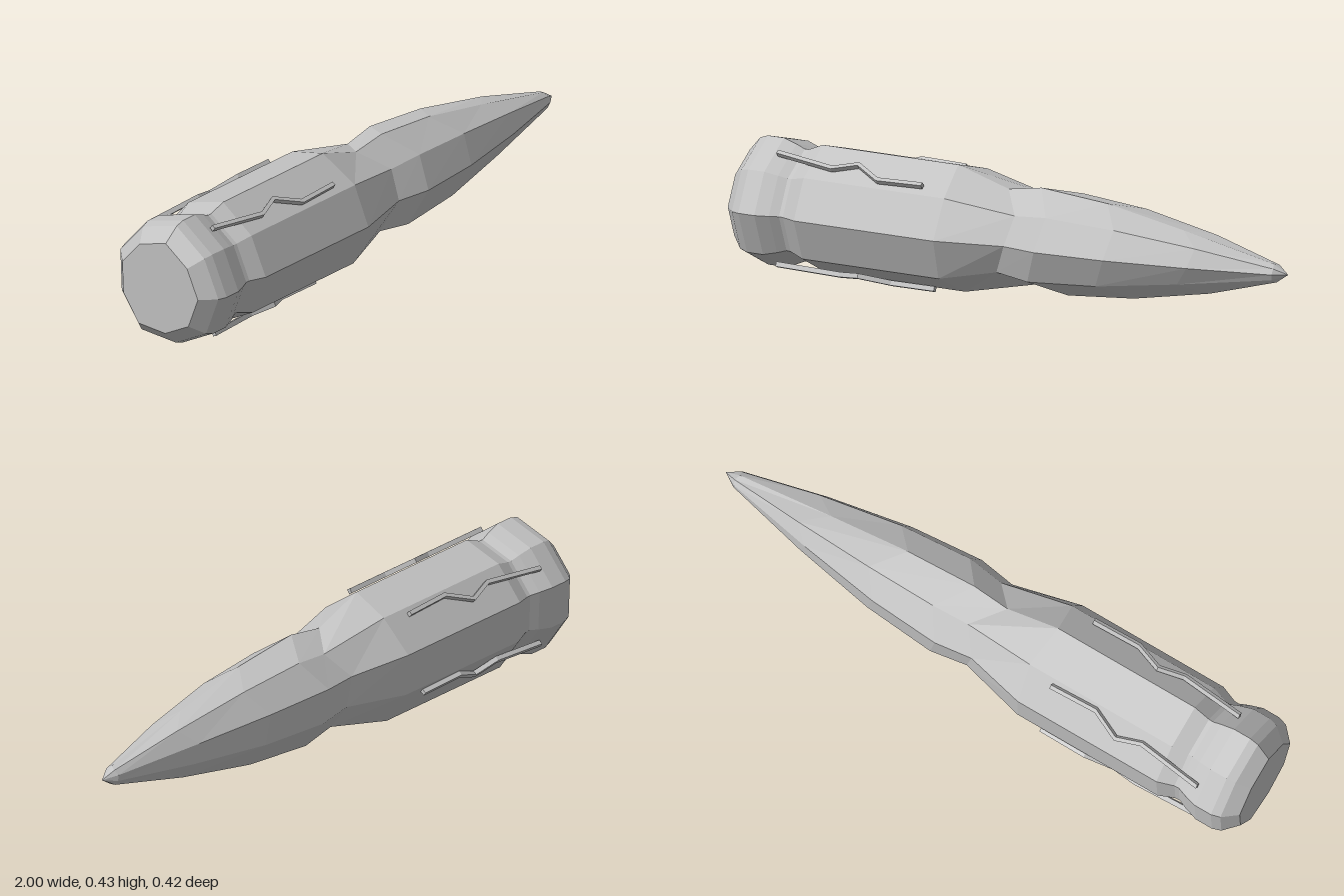
import * as THREE from 'three';

const SIDES = 9;
const AXIS_Y = 0.21, AXIS_Z = -0.006;
// hand-cut irregularity of each long edge: radius factor and lengthwise shift
const EDGE_RADIUS = [1, 0.945, 1.03, 0.967, 0.99, 0.96, 1.03, 0.955, 0.99];
const EDGE_SHIFT = [0.01, 0.025, -0.05, 0.035, -0.02, 0, 0.01, 0.047, -0.04];

// cross-sections along x: [x, radius, shift weight]
const CASE = [
  [-1, 0, 0], [-1, 0.158, 0], [-0.955, 0.205, 0], [-0.925, 0.215, 0],
  [-0.865, 0.215, 0], [-0.82, 0.2, 0], [-0.79, 0.187, 0], [-0.775, 0.188, 0],
  [-0.72, 0.21, 0], [-0.2, 0.21, 0.25], [0.02, 0.153, 1],
];
const POINT = [
  [0.02, 0.153, 1], [0.145, 0.173, 1], [0.39, 0.152, 1],
  [0.67, 0.099, 1], [0.955, 0.03, 0.1], [1, 0, 0],
];

// faceted skin over a row of nine-sided sections
function facetedBody(rings) {
  const corner = ([x, r, w], j) => {
    const k = j % SIDES, a = (k / SIDES) * Math.PI * 2, R = r * EDGE_RADIUS[k];
    return [x + EDGE_SHIFT[k] * w, R * Math.sin(a), R * Math.cos(a)];
  };
  const pos = [];
  for (let i = 0; i < rings.length - 1; i++) {
    for (let j = 0; j < SIDES; j++) {
      const a = corner(rings[i], j), b = corner(rings[i + 1], j);
      const c = corner(rings[i + 1], j + 1), d = corner(rings[i], j + 1);
      if (rings[i + 1][1] > 0) pos.push(...a, ...b, ...c);
      if (rings[i][1] > 0) {
        if (rings[i + 1][1] > 0) pos.push(...a, ...c, ...d);
        else pos.push(...a, ...b, ...d);
      }
    }
  }
  const g = new THREE.BufferGeometry();
  g.setAttribute('position', new THREE.Float32BufferAttribute(pos, 3));
  g.computeVertexNormals();
  return g;
}

// zigzag strip, lying along x and standing off in +z
function zigzagStrip() {
  const path = [[-0.85, 0.026], [-0.63, -0.006], [-0.545, 0.024], [-0.45, -0.027], [-0.285, -0.021]];
  const h = 0.007;
  const outline = [
    ...path.map(([x, t]) => new THREE.Vector2(x, t - h)),
    ...path.slice().reverse().map(([x, t]) => new THREE.Vector2(x, t + h)),
  ];
  const g = new THREE.ExtrudeGeometry(new THREE.Shape(outline), { depth: 0.016, bevelEnabled: false });
  g.translate(0, 0, 0.197);
  return g;
}

export function createModel() {
  const metal = new THREE.MeshStandardMaterial({ color: 0xc0c0c0 });
  metal.name = 'grey metal';
  metal.flatShading = true;

  const model = new THREE.Group();
  model.name = 'cartridge';
  const add = (name, geometry) => {
    const mesh = new THREE.Mesh(geometry, metal);
    mesh.name = name;
    mesh.position.set(0, AXIS_Y, AXIS_Z);
    model.add(mesh);
    return mesh;
  };

  add('case', facetedBody(CASE));
  add('point', facetedBody(POINT));

  // four zigzag strips around the case
  const strip = zigzagStrip();
  [54.5, 133, 212.5, 293].forEach((deg, i) => {
    add('zigzagStrip' + (i + 1), strip).rotation.x = -THREE.MathUtils.degToRad(deg);
  });
  return model;
}
